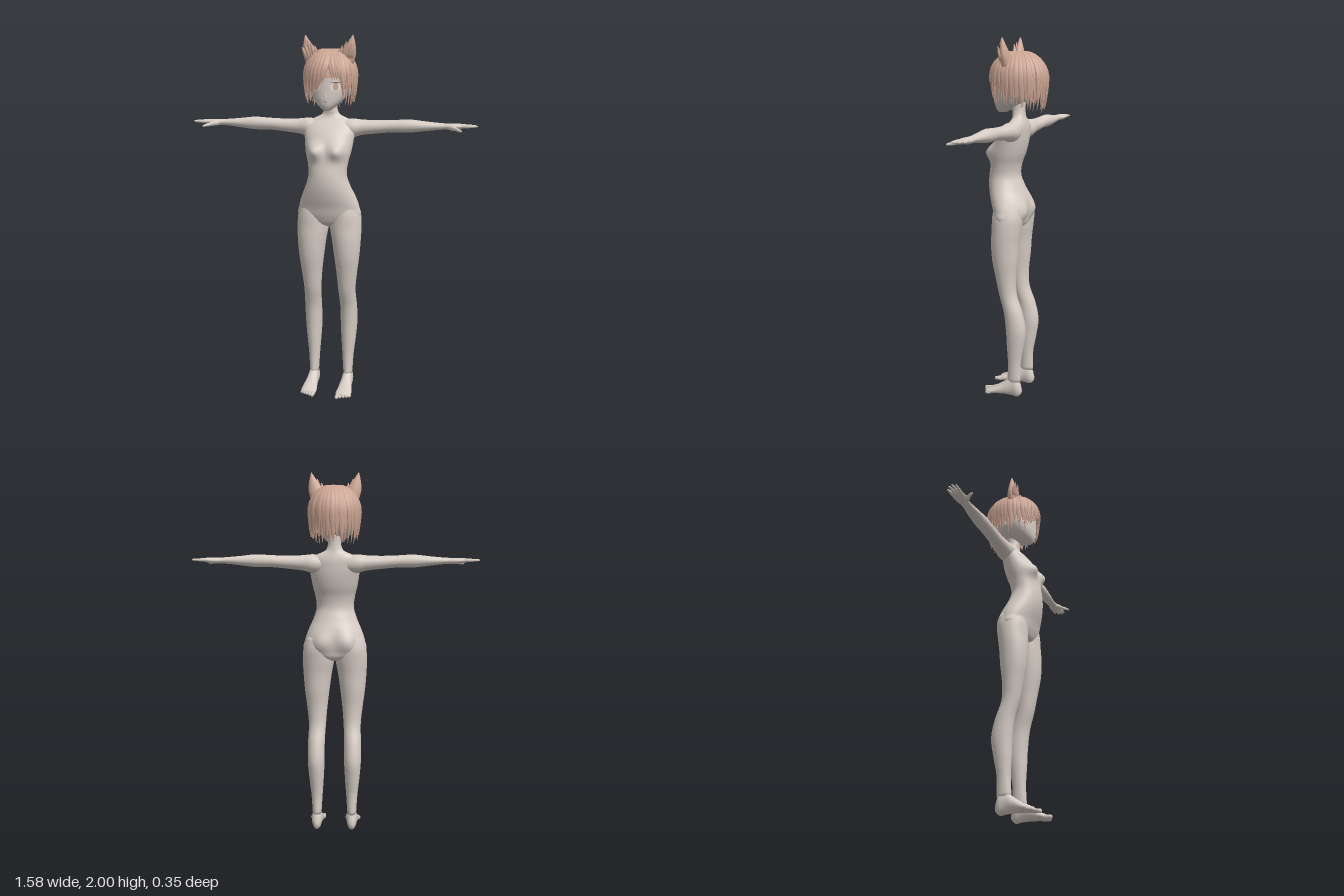
import * as THREE from 'three';
import { mergeGeometries } from 'three/addons/utils/BufferGeometryUtils.js';

const V = (x, y, z) => new THREE.Vector3(x, y, z);
const paint = (name, color, side = THREE.FrontSide) => {
  const m = new THREE.MeshStandardMaterial({ color, side });
  m.name = name;
  return m;
};

// Closed skin over a list of rings; corners are ordered so faces point outward
function skinRings(rings) {
  const n = rings[0].length, pts = rings.flat(), idx = [];
  for (let i = 0; i < rings.length - 1; i++) for (let j = 0; j < n; j++) {
    const a = i * n + j, b = i * n + (j + 1) % n;
    idx.push(a, b, a + n, b, b + n, a + n);
  }
  for (const end of [0, rings.length - 1]) {
    const c = pts.length;
    pts.push(rings[end].reduce((s, p) => s.add(p), V(0, 0, 0)).divideScalar(n));
    for (let j = 0; j < n; j++) {
      const a = end * n + j, b = end * n + (j + 1) % n;
      end ? idx.push(a, b, c) : idx.push(b, a, c);
    }
  }
  let volume = 0;
  const o = pts[0], t = V(0, 0, 0);
  for (let i = 0; i < idx.length; i += 3) {
    const [a, b, c] = [0, 1, 2].map(k => pts[idx[i + k]].clone().sub(o));
    volume += a.dot(t.crossVectors(b, c));
  }
  if (volume < 0) idx.reverse();
  const g = new THREE.BufferGeometry().setFromPoints(pts);
  g.setIndex(idx);
  g.computeVertexNormals();
  return g;
}

// Smooth section lookup; each row is [t, a min, a max, b min, b max]
const sampler = rows => {
  const f = new THREE.CubicInterpolant(rows.map(r => r[0]), rows.flatMap(r => r.slice(1)), 4);
  return t => Array.from(f.evaluate(t));
};
const PLACE = { x: (t, a, b) => V(t, a, b), y: (t, a, b) => V(a, t, b), z: (t, a, b) => V(a, b, t) };

// Loft of oval sections along one axis, optionally reshaped by a rule
function loft(axis, rows, steps = 40, sides = 28, rule = null, s = 1) {
  const at = sampler(rows), t0 = rows[0][0], t1 = rows.at(-1)[0], rings = [];
  for (let i = 0; i <= steps; i++) {
    const t = t0 + (t1 - t0) * i / steps, [a0, a1, b0, b1] = at(t), ring = [];
    for (let j = 0; j < sides; j++) {
      const q = j / sides * Math.PI * 2;
      const p = PLACE[axis](t, (a0 + a1) / 2 + (a1 - a0) / 2 * Math.cos(q), (b0 + b1) / 2 + (b1 - b0) / 2 * Math.sin(q));
      if (rule) rule(p);
      p.x *= s;
      ring.push(p);
    }
    rings.push(ring);
  }
  return skinRings(rings);
}

// Rounded tapering digit between two points
function digit(p, q, r0, r1, s) {
  const dir = q.clone().sub(p), u = V(0, 1, 0).cross(dir).normalize(), v = dir.clone().cross(u).normalize();
  const rings = [[0, r0], [0.35, r0], [0.7, (r0 + r1) / 2], [0.92, r1], [0.98, r1 * 0.7], [1, r1 * 0.2]].map(([t, r]) =>
    Array.from({ length: 8 }, (_, j) => {
      const w = p.clone().addScaledVector(dir, t).addScaledVector(u, r * Math.cos(j * Math.PI / 4)).addScaledVector(v, r * Math.sin(j * Math.PI / 4));
      w.x *= s;
      return w;
    }));
  return skinRings(rings);
}

const TORSO = [
  [0.968, -0.03, 0.03, -0.01, 0.06], [0.985, -0.1, 0.1, -0.04, 0.09], [1.02, -0.168, 0.168, -0.05, 0.11],
  [1.08, -0.168, 0.168, -0.058, 0.128], [1.14, -0.148, 0.148, -0.052, 0.148], [1.2, -0.122, 0.122, -0.03, 0.16],
  [1.26, -0.105, 0.105, -0.01, 0.16], [1.32, -0.11, 0.11, -0.015, 0.15], [1.38, -0.124, 0.124, -0.036, 0.14],
  [1.44, -0.134, 0.134, -0.05, 0.122], [1.49, -0.14, 0.14, -0.055, 0.095], [1.53, -0.135, 0.135, -0.055, 0.06],
  [1.555, -0.1, 0.1, -0.05, 0.036], [1.575, -0.055, 0.055, -0.045, 0.028], [1.6, -0.039, 0.039, -0.042, 0.03],
  [1.69, -0.038, 0.038, -0.042, 0.035]];
const LEG = [
  [0.09, 0.074, 0.124, -0.055, 0.025], [0.2, 0.067, 0.131, -0.055, 0.02], [0.3, 0.06, 0.142, -0.072, 0.025],
  [0.4, 0.055, 0.15, -0.085, 0.03], [0.5, 0.055, 0.15, -0.065, 0.042], [0.6, 0.05, 0.147, -0.03, 0.07],
  [0.7, 0.042, 0.157, -0.025, 0.09], [0.8, 0.03, 0.17, -0.035, 0.109], [0.9, 0.016, 0.178, -0.042, 0.115],
  [0.97, 0.004, 0.18, -0.052, 0.112], [1.04, 0.006, 0.175, -0.058, 0.11], [1.1, 0.03, 0.155, -0.045, 0.1]];
const ARM = [
  [0.06, 1.46, 1.55, -0.045, 0.045], [0.12, 1.455, 1.558, -0.055, 0.052], [0.17, 1.468, 1.553, -0.05, 0.04],
  [0.25, 1.478, 1.55, -0.045, 0.033], [0.35, 1.487, 1.553, -0.044, 0.03], [0.43, 1.487, 1.557, -0.045, 0.03],
  [0.52, 1.497, 1.548, -0.042, 0.024], [0.62, 1.507, 1.54, -0.034, 0.016], [0.66, 1.506, 1.54, -0.04, 0.024],
  [0.7, 1.511, 1.539, -0.044, 0.022], [0.725, 1.518, 1.535, -0.04, 0.014]];
const FOOT = [
  [-0.06, 0.09, 0.11, 0.02, 0.05], [-0.045, 0.075, 0.124, 0.002, 0.1], [0, 0.07, 0.128, 0.002, 0.115],
  [0.04, 0.066, 0.133, 0.004, 0.085], [0.09, 0.06, 0.142, 0.003, 0.052], [0.13, 0.057, 0.144, 0, 0.034], [0.148, 0.066, 0.138, 0.004, 0.026]];
const HEAD = [
  [1.603, -0.014, 0.014, 0.07, 0.112], [1.625, -0.045, 0.045, 0.02, 0.125], [1.66, -0.08, 0.08, -0.04, 0.13],
  [1.7, -0.102, 0.102, -0.08, 0.13], [1.75, -0.115, 0.115, -0.11, 0.128], [1.8, -0.116, 0.116, -0.12, 0.124],
  [1.86, -0.095, 0.095, -0.1, 0.095], [1.9, -0.03, 0.03, -0.04, 0.04]];

// Soft swell centred on both sides of the body
const swell = (p, x, y, sx, sy) => Math.exp(-(((Math.abs(p.x) - x) / sx) ** 2) - ((p.y - y) / sy) ** 2);
function shapeTorso(p) {
  if (p.z > 0.05) p.z += 0.038 * swell(p, 0.065, 1.39, 0.042, 0.042);
  else if (p.z < 0) p.z -= 0.026 * swell(p, 0.075, 1.07, 0.055, 0.065);
}

// Thin patch laid over the face
const headAt = sampler(HEAD);
function facePatch(cx, cy, rx, ry, lift) {
  const g = new THREE.CircleGeometry(1, 20), p = g.attributes.position;
  for (let i = 0; i < p.count; i++) {
    const x = cx + p.getX(i) * rx, y = cy + p.getY(i) * ry, [, w, b, f] = headAt(y);
    p.setXYZ(i, x, y, (b + f) / 2 + (f - b) / 2 * Math.sqrt(Math.max(0, 1 - (x / w) ** 2)) + lift);
  }
  g.computeVertexNormals();
  return g;
}

// One pointed hair lock running down from the crown
function lock(phi, yEnd, width, sweep, out) {
  const rings = [], n = 12;
  for (let i = 0; i <= n; i++) {
    const t = i / n, y = 1.925 + (yEnd - 1.925) * t ** 1.5, q = phi + sweep * t * t, h = (y - 1.78) / 0.15;
    const f = (h > 0 ? Math.sqrt(1 - h * h) : 1 - 0.1 * h * h) + out;
    const c = V(0.134 * f * Math.sin(q), y, 0.153 * f * Math.cos(q) - 0.005);
    const taper = t < 0.6 ? 1 : Math.max(0.03, 1 - ((t - 0.6) / 0.4) ** 1.3);
    const u = V(Math.cos(q), 0, -Math.sin(q)).multiplyScalar(width * f * taper), v = V(Math.sin(q), 0.3, Math.cos(q)).multiplyScalar(0.007 * (0.2 + taper));
    rings.push([0, 1, 2, 3, 4, 5].map(k => c.clone().addScaledVector(u, Math.cos(k * Math.PI / 3)).addScaledVector(v, Math.sin(k * Math.PI / 3))));
  }
  return skinRings(rings);
}

export function createModel() {
  const root = new THREE.Group();
  const skin = paint('skin', 0xd6ccc4), hair = paint('hair', 0xcfa896);
  const white = paint('eye white', 0xe8e0da, THREE.DoubleSide), iris = paint('iris', 0xc9a58f, THREE.DoubleSide), line = paint('lash', 0x8a6f63, THREE.DoubleSide);
  const add = (name, geo, mat) => {
    const m = new THREE.Mesh(geo, mat);
    m.name = name;
    root.add(m);
    return m;
  };

  // Body and head
  add('torso', loft('y', TORSO, 90, 64, shapeTorso), skin);
  add('head', loft('y', HEAD, 36, 36), skin);
  const nose = add('nose', new THREE.ConeGeometry(0.009, 0.03, 8), skin);
  nose.position.set(0, 1.69, 0.129);
  nose.rotation.x = 0.25;
  add('mouth', facePatch(0, 1.652, 0.014, 0.0015, 0.002), line);

  for (const [side, s] of [['left', 1], ['right', -1]]) {
    // Limbs
    add(side + 'Leg', loft('y', LEG, 60, 28, null, s), skin);
    add(side + 'Arm', loft('x', ARM, 50, 24, null, s), skin);
    add(side + 'Foot', loft('z', FOOT, 24, 24, null, s), skin);
    const toes = [0, 1, 2, 3, 4].map(i => digit(V(0.071 + i * 0.0165, 0.014, 0.13 - i * 0.003), V(0.07 + i * 0.017, 0.011, 0.176 - i * 0.008), i ? 0.0085 : 0.012, i ? 0.007 : 0.01, s));
    add(side + 'Toes', mergeGeometries(toes), skin);
    const fingers = [[-0.034, -0.04, 0.763], [-0.019, -0.02, 0.782], [-0.004, 0.0, 0.79], [0.01, 0.017, 0.778]]
      .map(([z0, z1, x]) => digit(V(0.7, 1.526, z0), V(x, 1.527, z1), 0.0088, 0.0055, s));
    fingers.push(digit(V(0.64, 1.521, 0.004), V(0.685, 1.513, 0.043), 0.014, 0.009, s), digit(V(0.677, 1.514, 0.036), V(0.71, 1.506, 0.077), 0.0095, 0.0055, s));
    add(side + 'Fingers', mergeGeometries(fingers), skin);

    // Face details
    add(side + 'Eye', facePatch(s * 0.053, 1.73, 0.026, 0.022, 0.002), white);
    add(side + 'Iris', facePatch(s * 0.053, 1.73, 0.014, 0.019, 0.004), iris);
    add(side + 'Lash', facePatch(s * 0.054, 1.752, 0.028, 0.003, 0.005), line);
    const ear = add(side + 'Ear', new THREE.SphereGeometry(1, 14, 10), skin);
    ear.scale.set(0.012, 0.032, 0.018);
    ear.position.set(s * 0.112, 1.71, -0.015);
    ear.rotation.x = -0.35;

    // Animal ear: flattened shell with ragged tufts of fur
    const shell = loft('y', [[1.85, 0.045, 0.13, -0.005, 0.055], [1.9, 0.06, 0.144, 0.004, 0.056], [1.94, 0.085, 0.143, 0.014, 0.054],
      [1.97, 0.108, 0.138, 0.024, 0.05], [1.998, 0.127, 0.131, 0.034, 0.042]], 14, 14, null, s);
    const tufts = [[0.06, 1.88, 0.075, 1.945], [0.075, 1.88, 0.098, 1.965], [0.09, 1.88, 0.115, 1.975], [0.105, 1.88, 0.13, 1.955], [0.12, 1.88, 0.144, 1.935], [0.055, 1.87, 0.056, 1.92]]
      .map(([x0, y0, x1, y1], i) => digit(V(x0, y0, 0.045), V(x1, y1, 0.055 + (i % 2) * 0.008), 0.011, 0.003, s));
    add(side + 'AnimalEar', mergeGeometries([shell, ...tufts]), hair);
  }

  // Hair: a cap over the skull, open below the brow
  const cap = new THREE.SphereGeometry(1, 48, 20, 0, Math.PI * 2, 0, Math.PI * 0.5);
  cap.scale(0.134, 0.148, 0.153);
  cap.translate(0, 1.778, -0.005);
  add('hairCap', cap, hair);

  // Back and side locks in two layers, longer toward the nape
  let seed = 7;
  const rnd = () => (seed = seed * 16807 % 2147483647) / 2147483647;
  const locks = [];
  for (let layer = 0; layer < 2; layer++) for (let i = 0; i < 30; i++) {
    const phi = 0.72 + (i + layer / 2) / 29.5 * (Math.PI * 2 - 1.44), a = Math.min(phi, Math.PI * 2 - phi);
    const end = a < 1.25 ? 1.655 : a < 1.9 ? 1.625 : 1.605;
    locks.push(lock(phi, end + rnd() * 0.04 + layer * 0.025, 0.019, (rnd() - 0.5) * 0.12, layer * 0.03 + rnd() * 0.03));
  }
  add('hairLocks', mergeGeometries(locks), hair);

  // Fringe sweeping from the parting across the right eye, short over the left
  const fringe = [];
  for (let i = 0; i < 9; i++) fringe.push(lock(0.15 - i * 0.09, 1.75 - Math.min(i, 5) * 0.013, 0.016, -0.24, 0.02 + (i % 2) * 0.025));
  for (let i = 0; i < 6; i++) fringe.push(lock(0.16 + i * 0.09, 1.765 - (i > 3 ? (i - 3) * 0.04 : 0), 0.015, 0.15, 0.02 + (i % 2) * 0.025));
  add('fringe', mergeGeometries(fringe), hair);
  return root;
}
